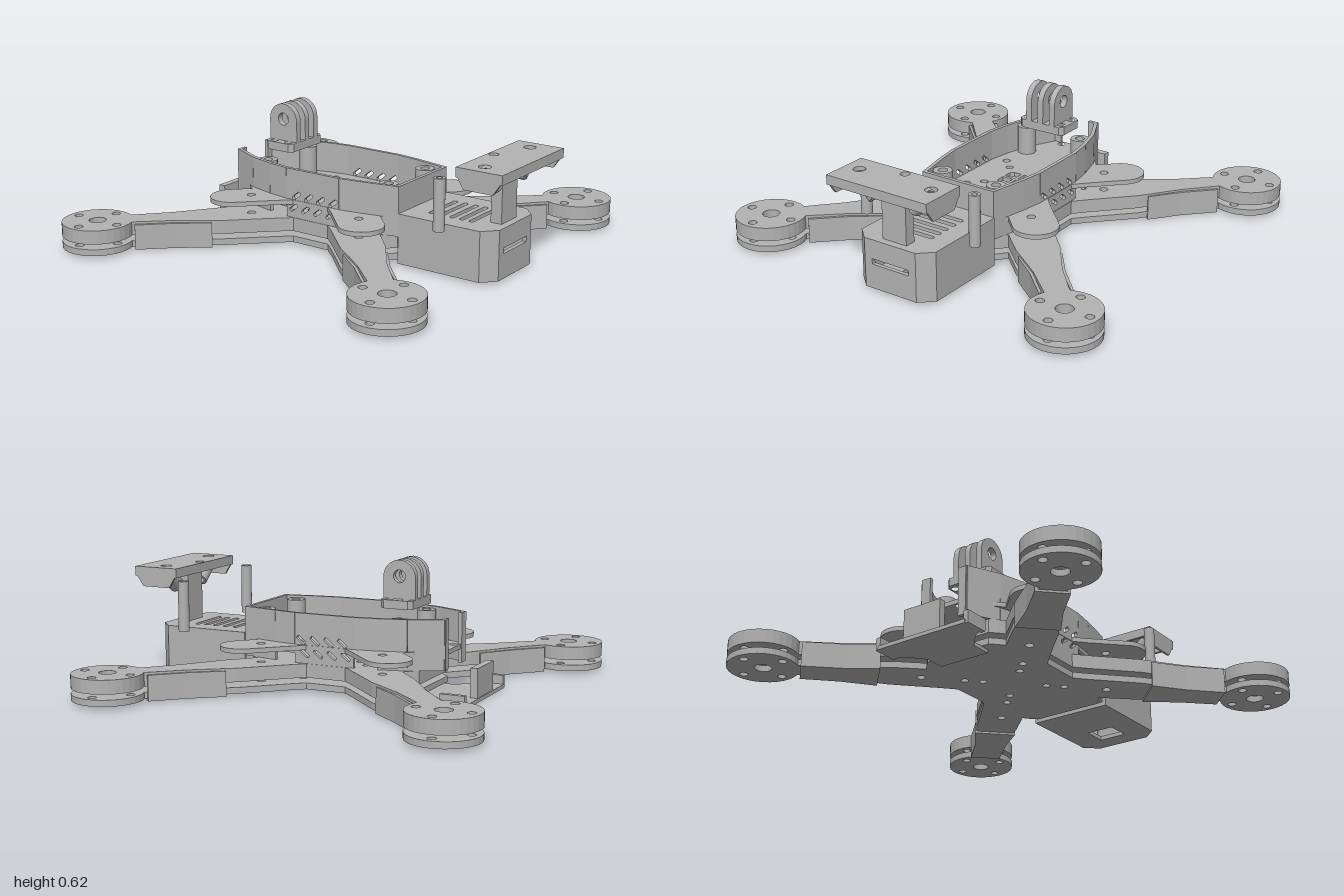
import * as THREE from 'three';

const CZ = -0.02;          // z of the centre of the cross
const Q = Math.SQRT1_2;

export function createModel() {
  const root = new THREE.Group();
  const grey = new THREE.MeshStandardMaterial({ color: 0xb3b3b3 });
  grey.name = 'frame grey';

  const add = (name, geo, x = 0, y = 0, z = 0) => {
    const m = new THREE.Mesh(geo, grey);
    m.name = name;
    m.position.set(x, y, z);
    root.add(m);
    return m;
  };
  const box = (name, x0, x1, y0, y1, z0, z1) =>
    add(name, new THREE.BoxGeometry(x1 - x0, y1 - y0, z1 - z0), (x0 + x1) / 2, (y0 + y1) / 2, (z0 + z1) / 2);
  const circle = (x, y, r) => new THREE.Path().absarc(x, y, r, 0, Math.PI * 2, true);
  const poly = (pts) => new THREE.Path(pts.map((p) => new THREE.Vector2(p[0], p[1])));
  // Rounded slot between two points
  const slot = (x0, y0, x1, y1, r) => {
    const a = Math.atan2(y1 - y0, x1 - x0), p = new THREE.Path();
    p.absarc(x1, y1, r, a - Math.PI / 2, a + Math.PI / 2, false);
    p.absarc(x0, y0, r, a + Math.PI / 2, a + Math.PI * 1.5, false);
    return p;
  };
  const extrude = (pts, holes, depth) => {
    const s = new THREE.Shape(pts.map((p) => new THREE.Vector2(p[0], p[1])));
    s.holes.push(...holes);
    return new THREE.ExtrudeGeometry(s, { depth, bevelEnabled: false, curveSegments: 14 });
  };
  // Horizontal plate from an (x, z) outline
  const plate = (name, pts, holes, y0, y1) => add(name, extrude(pts, holes, y1 - y0).rotateX(Math.PI / 2), 0, y1, 0);
  // Vertical plate from a (z, y) outline, centred on x
  const sidePlate = (name, pts, holes, x, t) => add(name, extrude(pts, holes, t).rotateY(-Math.PI / 2), x + t / 2, 0, 0);
  // Vertical tube
  const tube = (name, x, z, r, inner, y0, y1) => add(name, new THREE.LatheGeometry(
    [[inner, y0], [r, y0], [r, y0], [r, y1], [r, y1], [inner, y1], [inner, y1], [inner, y0]].map((p) => new THREE.Vector2(...p)), 20), x, 0, z);

  // Cross outline: the same arm mirrored into four quadrants
  const arcPts = (u, r, a) => Array.from({ length: 29 }, (_, i) => {
    const t = a * (1 - i / 14);
    return [u + r * Math.cos(t), r * Math.sin(t)];
  });
  const cross = (arm) => {
    const quadrant = [[0.255, 0.10], ...arm.map(([u, v]) => [(u + v) * Q, (u - v) * Q]), [0.2, 0.4], [0.17, 0.43]];
    const out = [];
    [[1, 1], [-1, 1], [-1, -1], [1, -1]].forEach(([sx, sz], i) => {
      const pts = quadrant.map(([x, z]) => [sx * x, CZ + sz * z]);
      out.push(...(i % 2 ? pts.reverse() : pts));
    });
    return out;
  };
  const four = (x, z, r) => [-1, 1].flatMap((sx) => [-1, 1].map((sz) => circle(sx * x, CZ + sz * z, r)));
  const hubHoles = () => [...four(0.305, 0.31, 0.02), ...four(0.165, 0.165, 0.018), ...four(0.105, 0.105, 0.018)];

  // Lower plate and upper arms with round motor pads
  const inset = 0.34;
  const half = [[0.33, 0.105], [0.58, 0.1], [0.8, 0.065]];
  const back = [[0.8, -0.065], [0.58, -0.1], [0.42, -0.105]];
  const longArm = [...half, ...arcPts(1.153, 0.165, Math.PI - inset), ...back];
  const d = 0.815, o = 0.122;
  const motorHoles = () => [...four(d, d, 0.04), ...four(d + o, d, 0.02), ...four(d - o, d, 0.02),
    ...four(d, d + o, 0.02), ...four(d, d - o, 0.02)];
  plate('lowerPlate', cross(longArm), [...hubHoles(), ...motorHoles()], 0.015, 0.045);
  plate('upperArms', cross(longArm), [...hubHoles(), ...motorHoles()], 0.07, 0.135);

  // Deck with four rounded ears
  const earArm = [[0.33, 0.105], ...arcPts(0.523, 0.105, Math.PI / 2), [0.42, -0.105]];
  const windows = [-1, 1].flatMap((a) => [-1, 1].map((b) =>
    poly([[a * 0.008, CZ + b * 0.008], [a * 0.065, CZ + b * 0.008], [a * 0.065, CZ + b * 0.05],
      [a * 0.05, CZ + b * 0.065], [a * 0.008, CZ + b * 0.065]])));
  plate('deck', cross(earArm), [...hubHoles(), ...windows], 0.2, 0.222);
  plate('deckTail', [[-0.17, -0.45], [0.17, -0.45], [0.125, -0.55], [-0.125, -0.55]],
    [circle(-0.065, -0.52, 0.018), circle(0.065, -0.52, 0.018)], 0.2, 0.222);

  // Arm guards: a thin channel under each arm
  for (const sx of [-1, 1]) for (const sz of [-1, 1]) {
    const uv = (pts) => pts.map(([u, v]) => [sx * (u + v) * Q, CZ + sz * (u - v) * Q]);
    plate('armGuardFloor', uv([[0.63, 0.1], [0.8, 0.078], [0.985, 0.075], [0.985, -0.075], [0.8, -0.078], [0.63, -0.1]]), [], 0.005, 0.015);
    for (const s of [-1, 1]) {
      plate('armGuardSide', uv([[0.63, s * 0.1], [0.8, s * 0.078], [0.985, s * 0.075],
        [0.985, s * 0.062], [0.8, s * 0.065], [0.63, s * 0.087]]), [], 0.008, 0.125);
    }
  }

  // Tray walls: flat panels following the curved side
  const line = [[0.43, 0.2], [0.25, 0.236], [0.14, 0.252], [-0.16, 0.252], [-0.27, 0.235], [-0.4, 0.2], [-0.555, 0.125]];
  const bottoms = [0.135, 0.18, 0.135, 0.18, 0.135, 0.135];
  for (const s of [-1, 1]) {
    bottoms.forEach((y0, i) => {
      const [z0, x0] = line[i], [z1, x1] = line[i + 1];
      const len = Math.hypot(z1 - z0, x1 - x0);
      const holes = [];
      if (i === 2) {
        for (let k = 0; k < 4; k++) {
          const a = 0.02 + k * 0.07;
          holes.push(slot(a - 0.002, 0.255, a + 0.027, 0.232, 0.009), slot(a + 0.015, 0.195, a + 0.044, 0.172, 0.009));
        }
      }
      const g = extrude([[0, y0], [len, y0], [len, 0.37], [0, 0.37]], holes, 0.018).translate(0, 0, -0.009);
      g.rotateY(Math.atan2(z0 - z1, s * (x1 - x0)));
      add('trayWall', g, s * (x0 - 0.009), 0, z0);
    });
    // Tail flange beside the open rear
    box('trayTailFlange', s * 0.105 - 0.025, s * 0.105 + 0.025, 0.135, 0.37, -0.555, -0.538);
    tube('rearStandoff', s * 0.155, -0.345, 0.045, 0.022, 0.222, 0.36);
    tube('frontStandoff', s * 0.15, 0.345, 0.045, 0.022, 0.222, 0.36);
    tube('loosePost', s * 0.3, 0.71, 0.026, 0.013, 0.245, 0.485);
  }
  box('trayFrontWall', -0.2, 0.2, 0.135, 0.37, 0.415, 0.433);

  // Nose box with chamfered front corners, vents and a slotted face
  const nose = [[-0.205, 0.435], [-0.205, 0.86], [-0.14, 0.92], [0.14, 0.92], [0.205, 0.86], [0.205, 0.435]];
  const vents = [0.545, 0.6, 0.655, 0.705, 0.755].map((z) => slot(-0.1, z, 0.1, z, 0.012));
  plate('noseTop', nose, vents, 0.225, 0.245);
  plate('noseFloor', nose, [poly([[-0.07, 0.7], [0.07, 0.7], [0.07, 0.82], [-0.07, 0.82]])], 0.01, 0.03);
  for (const s of [-1, 1]) {
    plate('noseSide', [[0.205, 0.435], [0.205, 0.86], [0.14, 0.92], [0.14, 0.898], [0.187, 0.853], [0.187, 0.435]]
      .map(([x, z]) => [s * x, z]), [], 0.03, 0.225);
  }
  add('noseFace', extrude([[-0.14, 0.03], [0.14, 0.03], [0.14, 0.225], [-0.14, 0.225]],
    [poly([[-0.1, 0.127], [0.1, 0.127], [0.1, 0.153], [-0.1, 0.153]])], 0.02), 0, 0, 0.9);

  // Raised wing on a pillar
  box('wingPillar', -0.065, 0.065, 0.245, 0.516, 0.83, 0.885);
  plate('wingTop', [[-0.27, 0.77], [0.27, 0.77], [0.27, 1.0], [-0.27, 1.0]],
    [circle(-0.195, 0.87, 0.028), circle(0.195, 0.87, 0.028), circle(0, 0.8, 0.022)], 0.515, 0.535);
  box('wingFrontLip', -0.27, 0.27, 0.49, 0.516, 0.985, 1.0);
  box('wingRearLip', -0.27, 0.27, 0.49, 0.516, 0.77, 0.785);
  for (const s of [-1, 1]) {
    sidePlate('wingEnd', [[0.77, 0.516], [0.77, 0.505], [0.81, 0.44], [0.955, 0.44], [1.0, 0.505], [1.0, 0.516]], [], s * 0.264, 0.012);
    const boss = add('antennaSocket', new THREE.LatheGeometry([[0.024, -0.06], [0.038, -0.06], [0.038, -0.06], [0.038, 0.06],
      [0.038, 0.06], [0.024, 0.06], [0.024, 0.06], [0.024, -0.06]].map((p) => new THREE.Vector2(...p)), 20), s * 0.15, 0.468, 0.87);
    boss.rotation.z = -s * 0.85;
  }

  // Three-pronged hinge mount
  const prong = [[-0.39, 0.42], [-0.23, 0.42]];
  for (let i = 0; i <= 16; i++) {
    const a = (Math.PI * i) / 16;
    prong.push([-0.31 + 0.08 * Math.cos(a), 0.54 + 0.08 * Math.sin(a)]);
  }
  for (const x of [-0.066, 0, 0.066]) sidePlate('hingeProng', prong, [circle(-0.31, 0.545, 0.03)], x, 0.03);
  plate('hingeBase', [[-0.125, -0.25], [-0.105, -0.23], [0.105, -0.23], [0.125, -0.25], [0.125, -0.37],
    [0.105, -0.39], [-0.105, -0.39], [-0.125, -0.37]],
    [-1, 1].flatMap((s) => [-0.27, -0.35].map((z) => circle(s * 0.098, z, 0.018))), 0.4, 0.44);

  // Rear bracket under the tail
  plate('rearBracket', [[0.24, -0.71], [0.24, -0.6], [0.2, -0.58], [0.13, -0.5], [0.13, -0.4],
    [-0.13, -0.4], [-0.13, -0.5], [-0.2, -0.58], [-0.24, -0.6], [-0.24, -0.71]], [], 0, 0.018);
  for (const s of [-1, 1]) box('rearBracketEnd', s * 0.243 - 0.012, s * 0.243 + 0.012, 0, 0.06, -0.705, -0.585);
  box('rearBracketTab', -0.1, 0.1, 0, 0.155, -0.705, -0.67);

  return root;
}
